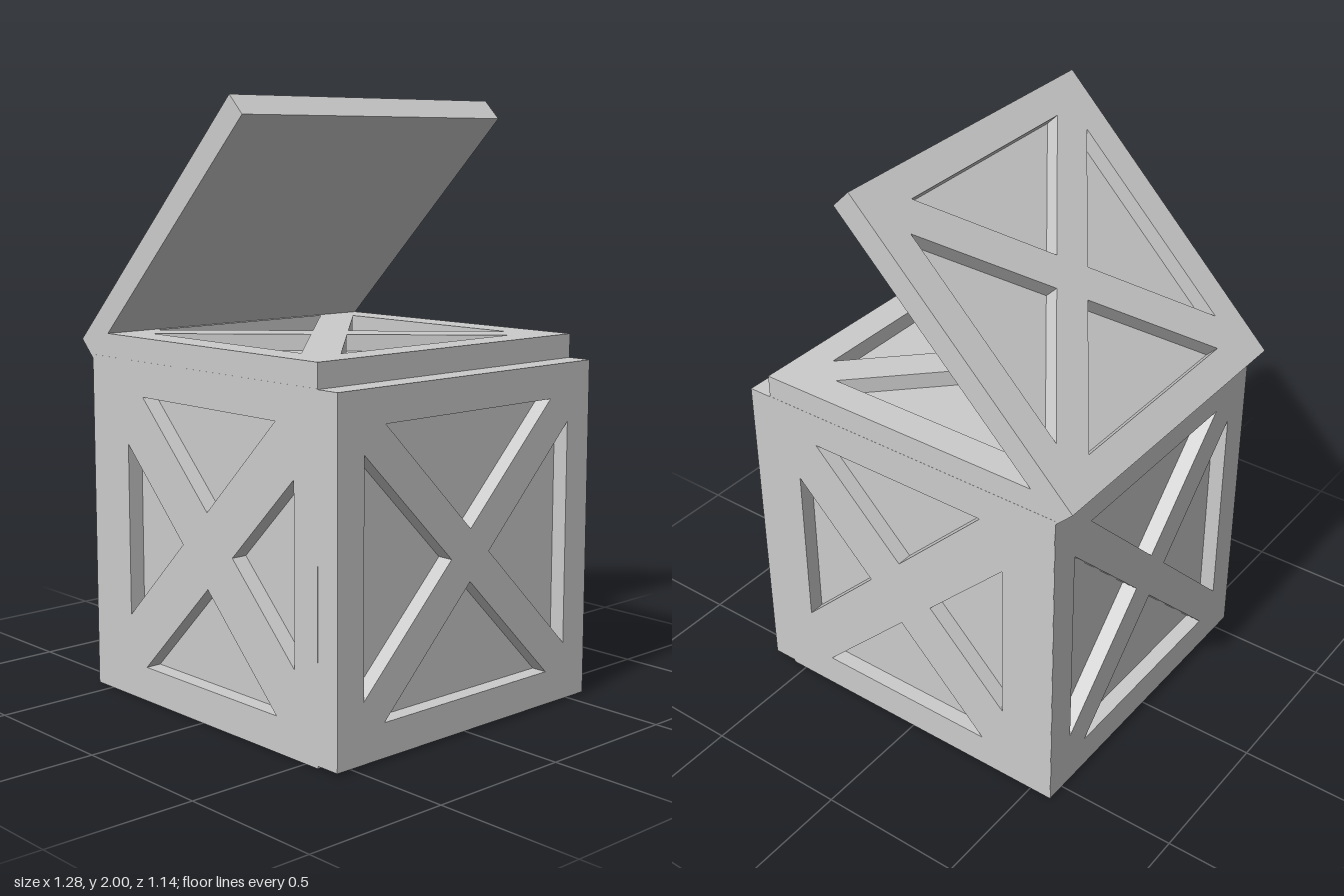
import * as THREE from 'three';

const THICK = 0.085, RECESS = 0.055;

// Cross-braced panel facing +z, outer face at z = 0.
// a, b: half size of the framed opening; cx: its centre; brace: half gap cut by the diagonals
function createPanel(name, material, w, h, { a = 0.46, b = 0.458, cx = 0, brace = 0.085 } = {}) {
  const panel = new THREE.Group();
  panel.name = name;

  const shape = new THREE.Shape([
    new THREE.Vector2(-w / 2, -h / 2), new THREE.Vector2(w / 2, -h / 2),
    new THREE.Vector2(w / 2, h / 2), new THREE.Vector2(-w / 2, h / 2),
  ]);
  // four triangular recesses between the braces
  for (const s of [1, -1]) {
    shape.holes.push(new THREE.Path([
      new THREE.Vector2(cx, s * brace),
      new THREE.Vector2(cx - (b - brace), s * b),
      new THREE.Vector2(cx + (b - brace), s * b),
    ]));
    shape.holes.push(new THREE.Path([
      new THREE.Vector2(cx + s * brace, 0),
      new THREE.Vector2(cx + s * a, a - brace),
      new THREE.Vector2(cx + s * a, -(a - brace)),
    ]));
  }
  const frame = new THREE.Mesh(
    new THREE.ExtrudeGeometry(shape, { depth: RECESS, bevelEnabled: false }), material);
  frame.name = name + 'Frame';
  frame.position.z = -RECESS;

  const backing = new THREE.Mesh(new THREE.BoxGeometry(w, h, THICK - RECESS), material);
  backing.name = name + 'Backing';
  backing.position.z = -(THICK + RECESS) / 2;

  panel.add(frame, backing);
  return panel;
}

export function createModel() {
  const model = new THREE.Group();
  model.name = 'crate';
  const material = new THREE.MeshStandardMaterial({ color: 0xcccccc, flatShading: true });
  const W = 1.135, H = 1.14, midX = -0.0125, midY = 0.575;

  // front and back, with wider braces and an opening set towards +x
  for (const s of [1, -1]) {
    const panel = createPanel(s > 0 ? 'frontPanel' : 'backPanel', material, W, 1.15,
      { a: 0.417, cx: s * 0.045, brace: 0.125 });
    panel.position.set(midX, midY, s * 0.568);
    if (s < 0) panel.rotation.y = Math.PI;
    model.add(panel);
  }

  // sides; the left one stands proud of the body
  const left = createPanel('leftPanel', material, W, H);
  left.rotation.y = Math.PI / 2;
  left.position.set(0.64, 0.578, 0);
  const right = createPanel('rightPanel', material, W, H);
  right.rotation.y = -Math.PI / 2;
  right.position.set(-0.581, midY, 0);

  // closed top
  const top = createPanel('topPanel', material, W, W);
  top.rotation.x = -Math.PI / 2;
  top.position.set(midX, 1.228, 0);

  // raised lid, hinged on the right edge
  const lid = createPanel('lid', material, W, W);
  lid.rotation.set(-Math.PI / 2, 0, Math.PI / 4, 'ZYX');
  lid.position.set(-0.24, 1.599, 0);

  // plain base
  const base = new THREE.Mesh(new THREE.BoxGeometry(W, THICK, W), material);
  base.name = 'base';
  base.position.set(midX, THICK / 2, 0);

  model.add(left, right, top, lid, base);
  return model;
}
